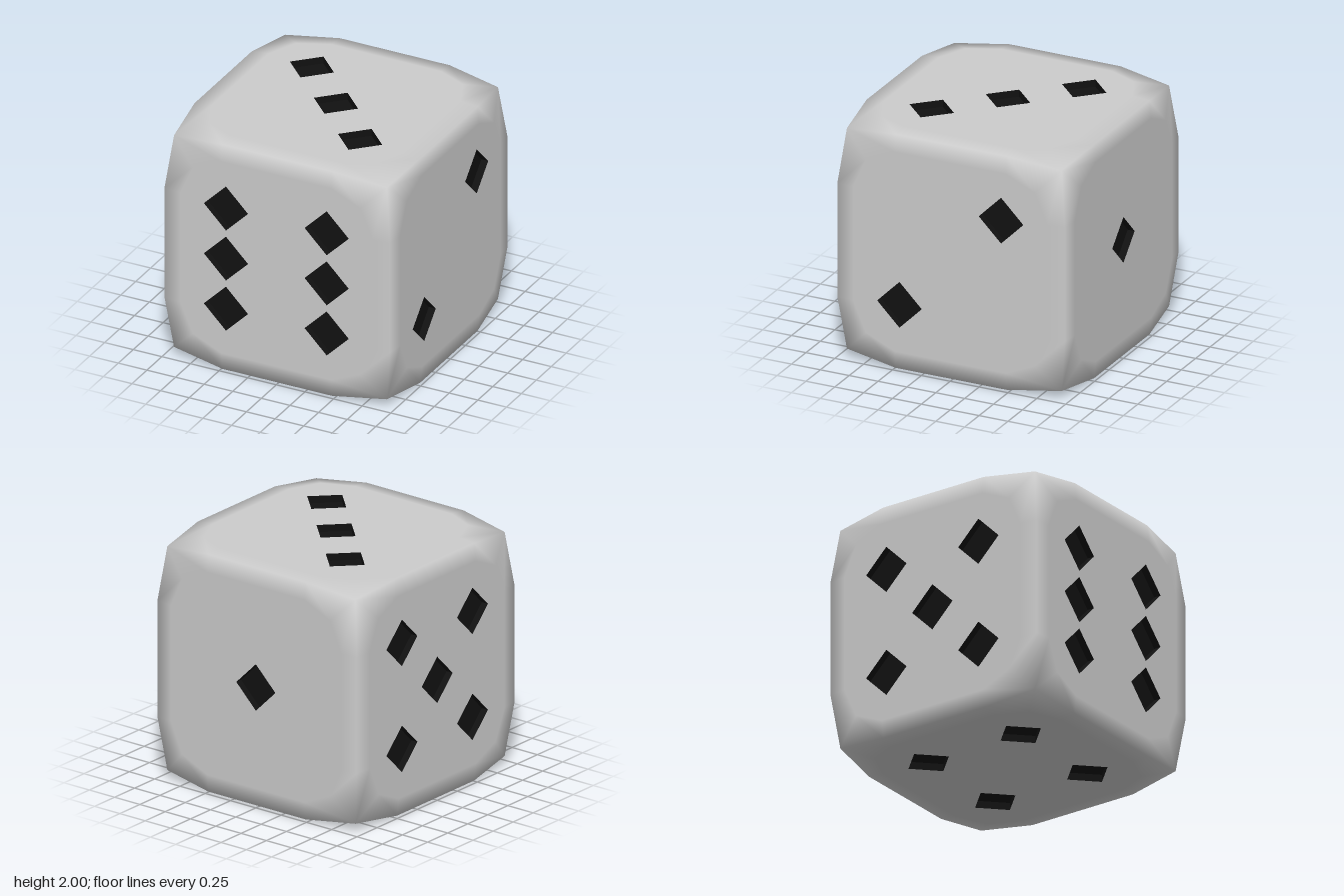
import * as THREE from 'three';

const P = 0.44;        // pip offset from the face centre
const R = 0.193;       // pip half diagonal
const DEPTH = 0.06;    // pip depth

// Inner (flat) and outer (worn edge) outlines of one quarter of a face, with edge normals
const INNER = [[0.84, 0.48], [0.73, 0.73], [0.48, 0.84]];
const OUTER = [[0.985, 0.48, 0.985], [0.93, 0.93, 0.93], [0.48, 0.985, 0.985]];
const NORMAL = [[1, 0, 1], [1, 1, 1], [0, 1, 1]];

// Repeat a quarter outline four times around z
function ring(quarter) {
  const pts = [];
  for (let q = 0; q < 4; q++) {
    for (const [x, y, z = 1] of quarter) {
      const p = [[x, y], [-y, x], [-x, -y], [y, -x]][q];
      pts.push(new THREE.Vector3(p[0], p[1], z));
    }
  }
  return pts;
}

// Flat plate of a face with diamond openings
function plateGeometry(pips) {
  const shape = new THREE.Shape(ring(INNER).map((p) => new THREE.Vector2(p.x, p.y)));
  for (const [x, y] of pips) {
    shape.holes.push(new THREE.Path([
      new THREE.Vector2(x + R, y), new THREE.Vector2(x, y - R),
      new THREE.Vector2(x - R, y), new THREE.Vector2(x, y + R),
    ]));
  }
  return new THREE.ShapeGeometry(shape).translate(0, 0, 1);
}

// Softly shaded band from the plate out to the shared edges
function rimGeometry() {
  const inner = ring(INNER), outer = ring(OUTER), normals = ring(NORMAL);
  const position = [], normal = [], index = [], n = inner.length;
  for (let i = 0; i < n; i++) {
    position.push(...inner[i].toArray(), ...outer[i].toArray());
    normal.push(0, 0, 1, ...normals[i].normalize().toArray());
    const a = 2 * i, b = 2 * ((i + 1) % n);
    index.push(a, a + 1, b + 1, a, b + 1, b);
  }
  const g = new THREE.BufferGeometry();
  g.setAttribute('position', new THREE.Float32BufferAttribute(position, 3));
  g.setAttribute('normal', new THREE.Float32BufferAttribute(normal, 3));
  g.setIndex(index);
  return g;
}

// Four-sided recess: floor and walls
function pipGeometry() {
  const profile = [[0, -DEPTH], [R, -DEPTH], [R, 0]].map(([x, y]) => new THREE.Vector2(x, y));
  return new THREE.LatheGeometry(profile, 4).rotateX(Math.PI / 2).translate(0, 0, 1);
}

export function createModel() {
  const model = new THREE.Group();
  model.name = 'die';
  const grey = new THREE.MeshStandardMaterial({ color: 0xcccccc });
  const black = new THREE.MeshStandardMaterial({
    color: 0x111111, flatShading: true, side: THREE.DoubleSide,
  });
  const rim = rimGeometry(), pip = pipGeometry();

  const falling = [[-P, P], [P, -P]], rising = [[P, P], [-P, -P]];
  const four = [...falling, ...rising];
  const H = Math.PI / 2;
  // name, rotation about x, rotation about y, pip centres
  const faces = [
    ['front', 0, 0, [...four, [-P, 0], [P, 0]]],
    ['back', 0, Math.PI, [[0, 0]]],
    ['left', 0, H, rising],
    ['right', 0, -H, [...four, [0, 0]]],
    ['top', -H, 0, [...falling, [0, 0]]],
    ['bottom', H, 0, four],
  ];

  for (const [name, rx, ry, pips] of faces) {
    const face = new THREE.Group();
    face.name = name + 'Face';
    face.rotation.set(rx, ry, 0);
    face.position.y = 1;
    const add = (part, geometry, material) => {
      const mesh = new THREE.Mesh(geometry, material);
      mesh.name = name + part;
      face.add(mesh);
      return mesh;
    };
    add('Plate', plateGeometry(pips), grey);
    add('Rim', rim, grey);
    pips.forEach(([x, y], i) => add('Pip' + (i + 1), pip, black).position.set(x, y, 0));
    model.add(face);
  }
  return model;
}
